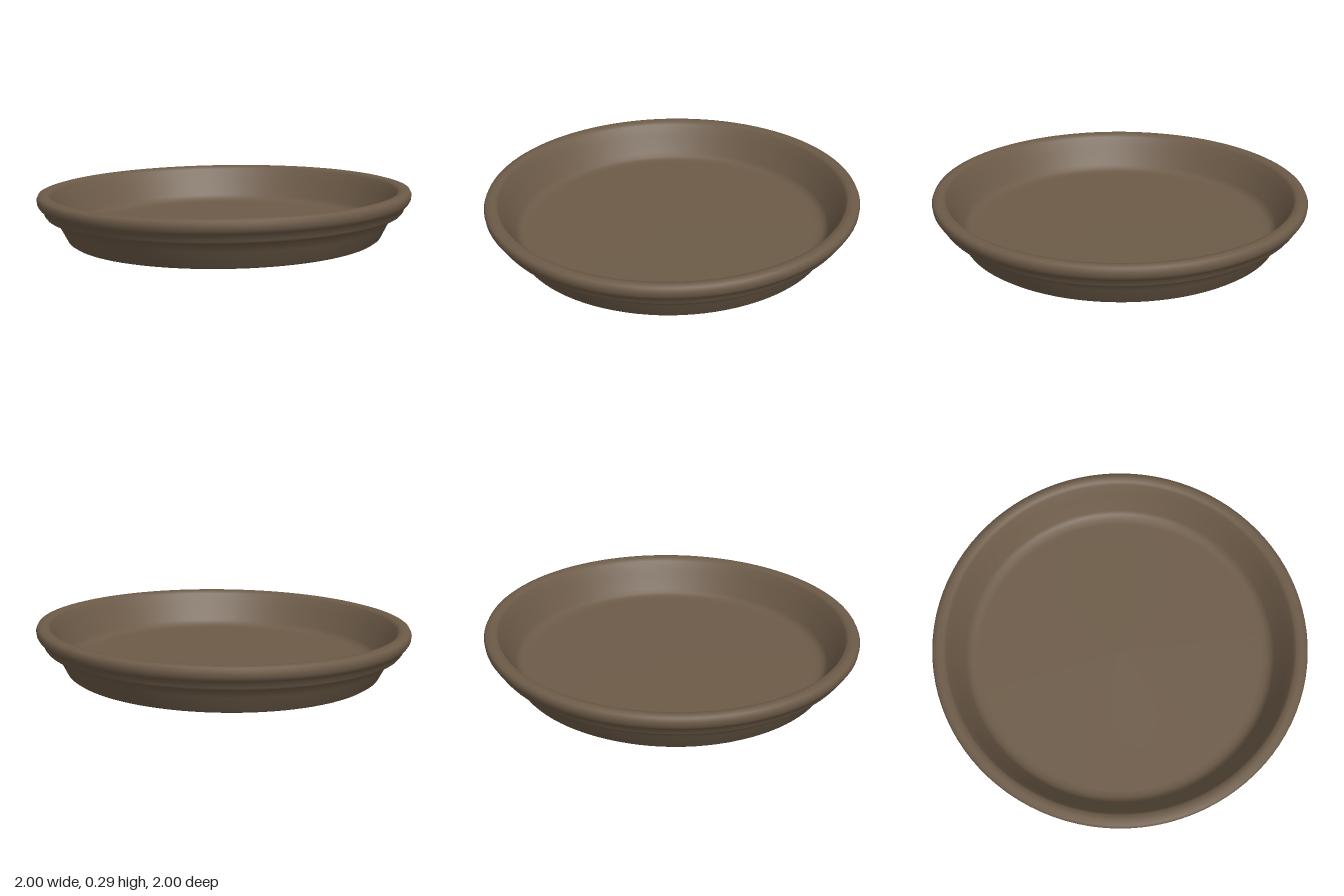
import * as THREE from 'three';

export function createModel() {
  const model = new THREE.Group();
  model.name = 'saucer';

  const clay = new THREE.MeshStandardMaterial({ color: 0x6d5b48 });
  clay.name = 'brown clay';
  const paper = new THREE.MeshStandardMaterial({ color: 0xcccccc });
  paper.name = 'grey label';

  // Closed profile: underside, outer wall, stepped rim, inner wall, floor
  const profile = [
    [0, 0.025], [0.64, 0.025], [0.69, 0.018], [0.8, 0.016], [0.825, 0.018], [0.842, 0.03],
    [0.88, 0.105], [0.905, 0.145], [0.92, 0.154], [0.95, 0.161], [0.96, 0.174],
    [0.965, 0.195], [0.985, 0.212], [0.996, 0.23], [0.999, 0.255], [0.99, 0.274],
    [0.965, 0.281], [0.937, 0.276], [0.923, 0.262],
    [0.893, 0.205], [0.842, 0.11], [0.826, 0.09], [0.805, 0.08], [0.77, 0.075], [0, 0.072],
  ].map(([r, y]) => new THREE.Vector2(r, y));
  const dish = new THREE.Mesh(new THREE.LatheGeometry(profile, 96), clay);
  dish.name = 'dish';
  model.add(dish);

  // Thin sticker with clipped corners on the recessed underside
  const outline = new THREE.Shape([
    [0.124, 0.315], [0.115, 0.2], [0.09, 0.173], [0.05, 0.178],
    [-0.335, 0.275], [-0.345, 0.3], [-0.328, 0.405], [-0.29, 0.413], [0.1, 0.335],
  ].map(([x, z]) => new THREE.Vector2(x, z)));
  const plate = new THREE.ExtrudeGeometry(outline, { depth: 0.004, bevelEnabled: false });
  plate.rotateX(Math.PI / 2);
  const label = new THREE.Mesh(plate, paper);
  label.name = 'undersideLabel';
  label.position.y = 0.026;
  model.add(label);

  // The dish rests at a slight tilt
  model.rotation.set(0.005, 0, 0.016);
  return model;
}
